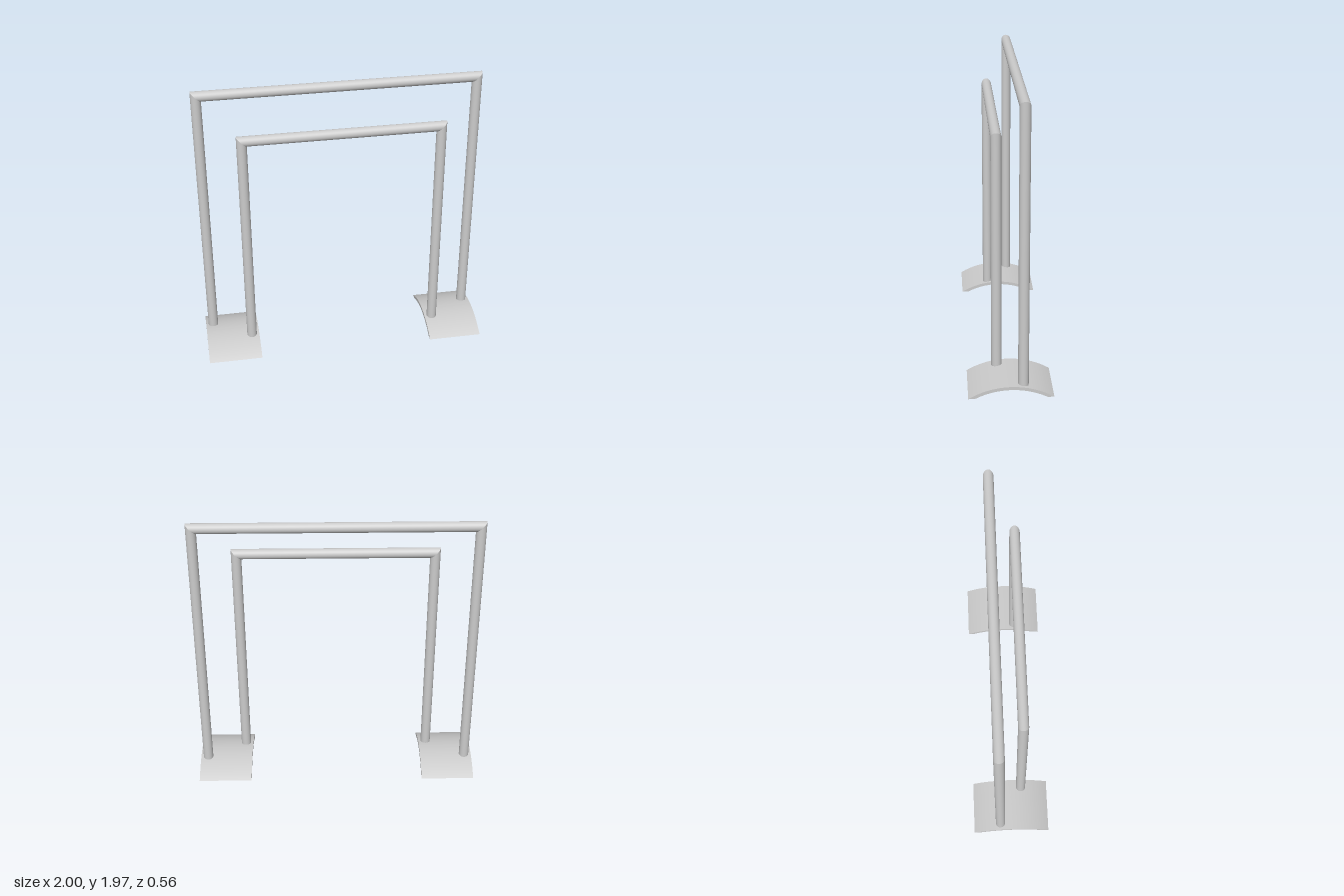
import * as THREE from 'three';
import { toCreasedNormals } from 'three/addons/utils/BufferGeometryUtils.js';

const RADIUS = 0.035, SIDES = 32, BASE_Y = 0.062;
const material = new THREE.MeshStandardMaterial({ color: 0xcccccc });

function addMesh(parent, name, geometry) {
  const mesh = new THREE.Mesh(geometry, material);
  mesh.name = name;
  parent.add(mesh);
  return mesh;
}

// Straight tube between two rings; each ring is a function of the outward offset c
function tubeBetween(start, end, z) {
  const positions = [], index = [];
  for (const ring of [start, end]) {
    for (let i = 0; i < SIDES; i++) {
      const a = (i / SIDES) * Math.PI * 2;
      const [x, y] = ring(RADIUS * Math.cos(a));
      positions.push(x, y, z + RADIUS * Math.sin(a));
    }
  }
  for (let i = 0; i < SIDES; i++) {
    const j = (i + 1) % SIDES;
    index.push(i, j, SIDES + i, j, SIDES + j, SIDES + i);
  }
  const geometry = new THREE.BufferGeometry();
  geometry.setAttribute('position', new THREE.Float32BufferAttribute(positions, 3));
  geometry.setIndex(index);
  geometry.computeVertexNormals();
  return geometry;
}

// Square arch of round tube with mitred corners
function createRail(name, halfWidth, height, z) {
  const rail = new THREE.Group();
  rail.name = name;
  const rings = [
    c => [-halfWidth - c, BASE_Y],
    c => [-halfWidth - c, height + c],
    c => [halfWidth + c, height + c],
    c => [halfWidth + c, BASE_Y],
  ];
  ['rightPost', 'crossbar', 'leftPost'].forEach((part, i) =>
    addMesh(rail, part, tubeBetween(rings[i], rings[i + 1], z)));
  return rail;
}

// Curved plate: a band between two concentric arcs, cut flat at the ground
function createFootGeometry() {
  const outer = 0.53, inner = 0.508, centreY = -0.45, width = 0.378;
  const outerAngle = Math.asin(-centreY / outer);
  const innerAngle = Math.asin(-centreY / inner);
  const shape = new THREE.Shape();
  shape.absarc(0, centreY, outer, outerAngle, Math.PI - outerAngle, false);
  shape.absarc(0, centreY, inner, Math.PI - innerAngle, innerAngle, true);
  shape.closePath();
  const geometry = new THREE.ExtrudeGeometry(shape, {
    depth: width, bevelEnabled: false, curveSegments: 32,
  });
  geometry.translate(0, 0, -width / 2);
  geometry.rotateY(Math.PI / 2);
  return toCreasedNormals(geometry, 0.4);
}

export function createModel() {
  const model = new THREE.Group();
  model.name = 'doubleRailStand';

  // Tall rear rail and shorter front rail
  model.add(createRail('rearRail', 0.947, 1.935, -0.081));
  model.add(createRail('frontRail', 0.675, 1.665, 0.081));

  // Arched feet
  const foot = createFootGeometry();
  for (const side of [-1, 1]) {
    addMesh(model, side > 0 ? 'leftFoot' : 'rightFoot', foot).position.x = side * 0.811;
  }
  return model;
}
